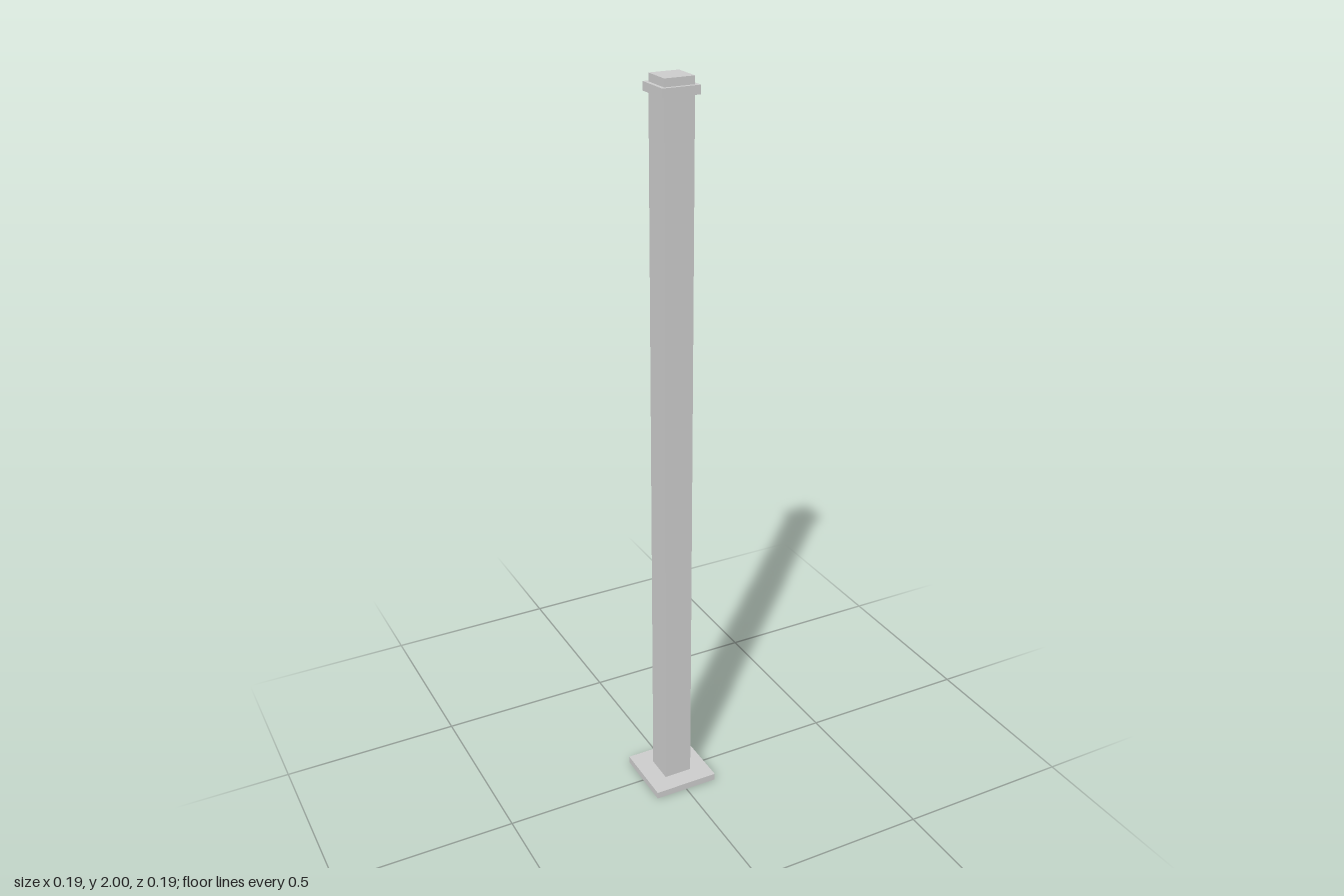
import * as THREE from 'three';

export function createModel() {
  const group = new THREE.Group();
  group.name = 'squarePost';
  const material = new THREE.MeshStandardMaterial({ color: 0xcccccc, flatShading: true });

  // Square block spanning from bottom to top
  const addBlock = (name, width, bottom, top) => {
    const mesh = new THREE.Mesh(new THREE.BoxGeometry(width, top - bottom, width), material);
    mesh.name = name;
    mesh.position.y = (bottom + top) / 2;
    group.add(mesh);
  };

  addBlock('basePlate', 0.185, 0, 0.02);
  addBlock('shaft', 0.08, 0.02, 2);
  // Collar band just below the top of the shaft
  addBlock('collar', 0.1, 1.958, 1.98);

  return group;
}
